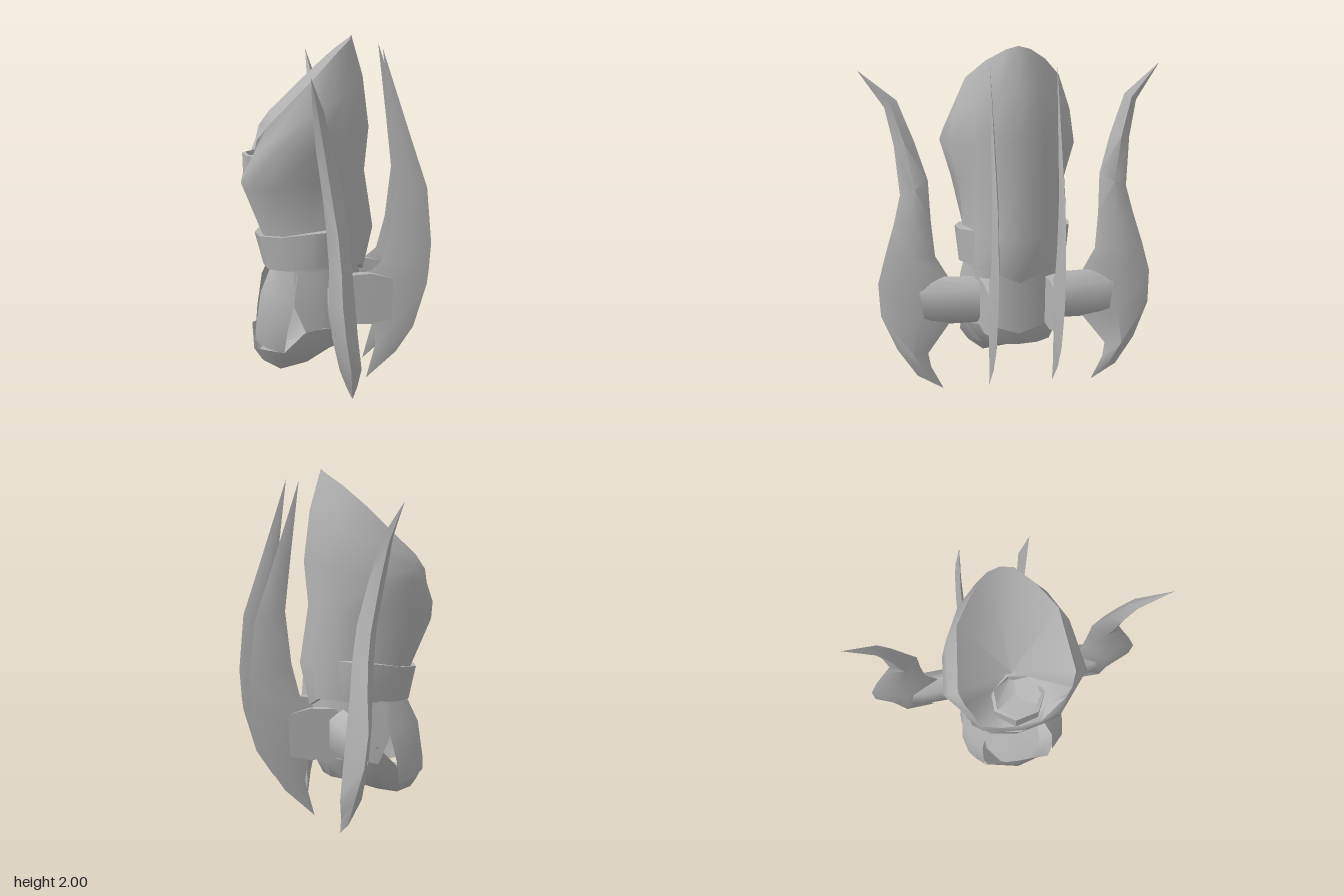
import * as THREE from 'three';
import { toCreasedNormals } from 'three/addons/utils/BufferGeometryUtils.js';

const metal = new THREE.MeshStandardMaterial({ color: 0xb4b4b4, side: THREE.DoubleSide });
metal.name = 'grey metal';

// Skin a list of equally long point rows; closed rows join end to start.
function loft(rows, closed, crease = 1) {
  const n = rows[0].length, index = [];
  for (let r = 0; r < rows.length - 1; r++) {
    for (let c = 0; c < (closed ? n : n - 1); c++) {
      const a = r * n + c, b = r * n + (c + 1) % n;
      index.push(a, a + n, b, b, a + n, b + n);
    }
  }
  const geo = new THREE.BufferGeometry();
  geo.setAttribute('position', new THREE.Float32BufferAttribute(rows.flat(2), 3));
  geo.setIndex(index);
  return toCreasedNormals(geo, crease);
}

const flip = ([x, y, z]) => [x, y, -z];
// Complete a half row (back to front, both ends on z = 0) to a ring.
const mirrorRow = (half) => [...half, ...half.filter((p) => p[2] > 0).reverse().map(flip)];
// Half row that starts at the side: whole arc through the front.
const frontArc = (half) => [...half, ...half.slice(0, -1).reverse().map(flip)];
// Half row that starts at the back: whole arc through the back.
const backArc = (half) => [...half.slice(1).reverse().map(flip), ...half];

// Collapse a row to one point, for caps.
const fan = (row, p) => [row, row.map(() => p)];

// Sharp-edged blade: rows of [innerA, innerY, outerA, outerY, mid, halfThickness].
function blade(rows, place) {
  return loft(rows.map(([a, b, c, d, m, h]) => [
    place(a, b, m), place((a + c) / 2, (b + d) / 2, m + h),
    place(c, d, m), place((a + c) / 2, (b + d) / 2, m - h),
  ]), true, 1.2);
}

export function createModel() {
  const model = new THREE.Group();
  const add = (name, geo) => {
    const mesh = new THREE.Mesh(geo, metal);
    mesh.name = name;
    model.add(mesh);
    return mesh;
  };
  const addPair = (name, geo) => {
    add(name + 'Left', geo);
    add(name + 'Right', geo).scale.z = -1;
  };

  // Tall crown, from its base to the slanted rim, notched at the front
  const crown = [
    [[.16, .65, 0], [.14, .71, .15], [.03, .71, .25], [-.13, .7, .28], [-.28, .69, .25], [-.38, .68, .14], [-.4, .68, .07], [-.41, .68, 0]],
    [[.215, .9, 0], [.17, .93, .13], [.06, .94, .24], [-.13, .94, .29], [-.3, .9, .27], [-.4, .88, .15], [-.415, .87, .08], [-.42, .87, 0]],
    [[.165, 1.23, 0], [.13, 1.23, .13], [.04, 1.22, .24], [-.13, 1.2, .31], [-.34, 1.18, .33], [-.5, 1.16, .22], [-.53, 1.16, .1], [-.54, 1.16, 0]],
    [[.19, 1.48, 0], [.15, 1.46, .14], [.06, 1.44, .25], [-.12, 1.4, .365], [-.34, 1.4, .395], [-.505, 1.26, .23], [-.525, 1.22, .11], [-.53, 1.21, 0]],
    [[.155, 1.77, 0], [.13, 1.75, .12], [.04, 1.68, .24], [-.11, 1.6, .335], [-.36, 1.46, .37], [-.46, 1.37, .26], [-.45, 1.25, .15], [-.42, 1.22, 0]],
    [[.09, 2, 0], [.08, 1.98, .07], [0, 1.91, .17], [-.11, 1.8, .27], [-.38, 1.53, .32], [-.44, 1.45, .29], [-.34, 1.365, .145], [-.25, 1.3, 0]],
  ].map(mirrorRow);
  add('crown', loft(crown, true, 1.2));
  add('crownHollow', loft(fan(crown[5], [-.245, 1.3, 0]), true, 1.2));
  add('crownFloor', loft(fan(crown[0], [-.1, .7, 0]), true));

  // Small open socket standing in the notch
  const socketProfile = [[.135, 1.17], [.14, 1.33], [.122, 1.335], [.115, 1.25], [0, 1.25]];
  const socket = add('frontSocket', toCreasedNormals(
    new THREE.LatheGeometry(socketProfile.map(([x, y]) => new THREE.Vector2(x, y)), 7), 0.5));
  socket.position.x = -.395;
  socket.scale.z = 1.1;

  // Brow band, with a lip turned in to the crown and ends running into it
  const band = [
    [[-.05, .715, .22], [-.13, .71, .25], [-.26, .7, .22], [-.36, .69, .13], [-.39, .68, 0]],
    [[.09, .74, .19], [-.03, .735, .3], [-.13, .72, .315], [-.28, .7, .27], [-.39, .69, .15], [-.415, .68, 0]],
    [[.09, .94, .2], [-.03, .935, .32], [-.13, .93, .338], [-.31, .9, .29], [-.43, .88, .16], [-.465, .87, 0]],
    [[.09, .94, .19], [-.03, .94, .24], [-.13, .93, .28], [-.3, .9, .26], [-.4, .88, .14], [-.42, .87, 0]],
  ];
  add('browBand', loft(band.slice(1).map(frontArc), false));
  add('browBandUnderside', loft([band[0], band[1].slice(1)].map(frontArc), false));

  // Neck guard wrapping the back and sides
  const neck = [
    [[.14, .7, 0], [.11, .71, .15], [.03, .71, .24], [-.1, .71, .27], [-.24, .7, .27]],
    [[.14, .5, 0], [.1, .52, .15], [.03, .52, .25], [-.1, .52, .29], [-.24, .5, .3]],
    [[.12, .33, 0], [.09, .37, .15], [.01, .37, .25], [-.08, .37, .28], [-.175, .35, .3]],
  ];
  add('neckGuard', loft(neck.map(backArc), false));

  // Cheek strips framing the open face
  addPair('cheekStrip', loft([
    [[-.22, .7, .27], [-.32, .7, .25], [-.38, .69, .17]],
    [[-.24, .52, .3], [-.35, .56, .28], [-.43, .57, .21]],
    [[-.28, .36, .31], [-.38, .36, .29], [-.46, .36, .21]],
    [[-.3, .22, .28], [-.4, .25, .25], [-.465, .28, .19]],
  ], false));

  // Bowl-shaped jaw, hanging lower on the left than on the right
  const tilt = ([x, y, z]) => [x, z < 0 && x < -.02 ? y - z * .3 : y, z];
  const jaw = [
    [[.12, .33, 0], [.09, .37, .15], [.01, .37, .25], [-.17, .36, .3], [-.3, .23, .29], [-.46, .23, .19], [-.485, .33, 0]],
    [[.08, .25, 0], [.06, .25, .12], [0, .25, .2], [-.17, .21, .26], [-.31, .16, .24], [-.44, .17, .14], [-.475, .17, 0]],
    [[.02, .23, 0], [0, .23, .08], [-.04, .21, .13], [-.17, .14, .17], [-.32, .1, .17], [-.42, .13, .1], [-.46, .15, 0]],
  ].map((row) => mirrorRow(row).map(tilt));
  add('jaw', loft(jaw, true));
  add('jawBase', loft(fan(jaw[2], [-.25, .13, 0]), true));

  // Curved side horns on short arms
  const sideways = (a, y, c) => [c, y, a];
  addPair('sideHorn', blade([
    [.875, 1.85, .875, 1.85, -.155, 0],
    [.66, 1.68, .73, 1.64, -.115, .03],
    [.57, 1.45, .685, 1.43, -.08, .045],
    [.5, 1.23, .66, 1.15, -.035, .055],
    [.49, 1, .7, .99, -.01, .06],
    [.47, .79, .755, .81, .005, .062],
    [.4, .67, .8, .64, .01, .07],
    [.4, .38, .79, .45, .03, .07],
    [.525, .22, .7, .25, .06, .06],
    [.51, .14, .59, .09, .07, .03],
    [.44, .005, .44, .005, .08, 0],
  ], sideways));
  addPair('sideArm', loft([.17, .5, .66].map((z, i) => {
    const h = [.073, .07, .04][i], hi = [.66, .67, .62][i], lo = [.38, .38, .42][i];
    return [[.018, hi, z], [.018 + h, .6, z], [.018 + h, .44, z], [.018, lo, z], [.018 - h, .44, z], [.018 - h, .6, z]];
  }), true, 1.2));

  // Twin back fins on short arms
  const backward = (a, y, c) => [a, y, .185 + c];
  addPair('backFin', blade([
    [.255, 1.94, .255, 1.94, 0, 0],
    [.305, 1.5, .42, 1.43, 0, .012],
    [.335, 1.22, .51, 1.16, 0, .017],
    [.3, .92, .537, .84, 0, .022],
    [.25, .73, .525, .68, 0, .024],
    [.18, .67, .515, .6, 0, .025],
    [.205, .37, .44, .35, 0, .024],
    [.225, .25, .34, .2, 0, .016],
    [.17, .045, .17, .045, 0, 0],
  ], backward));
  addPair('backFinArm', loft([.03, .2, .4].map((x, i) => {
    const h = [.036, .028, .008][i], lo = [.38, .375, .42][i], hi = [.66, .67, .62][i];
    return [[x, hi, .19 + h], [x, lo, .19 + h], [x, lo, .19 - h], [x, hi, .19 - h]];
  }), true));

  return model;
}
